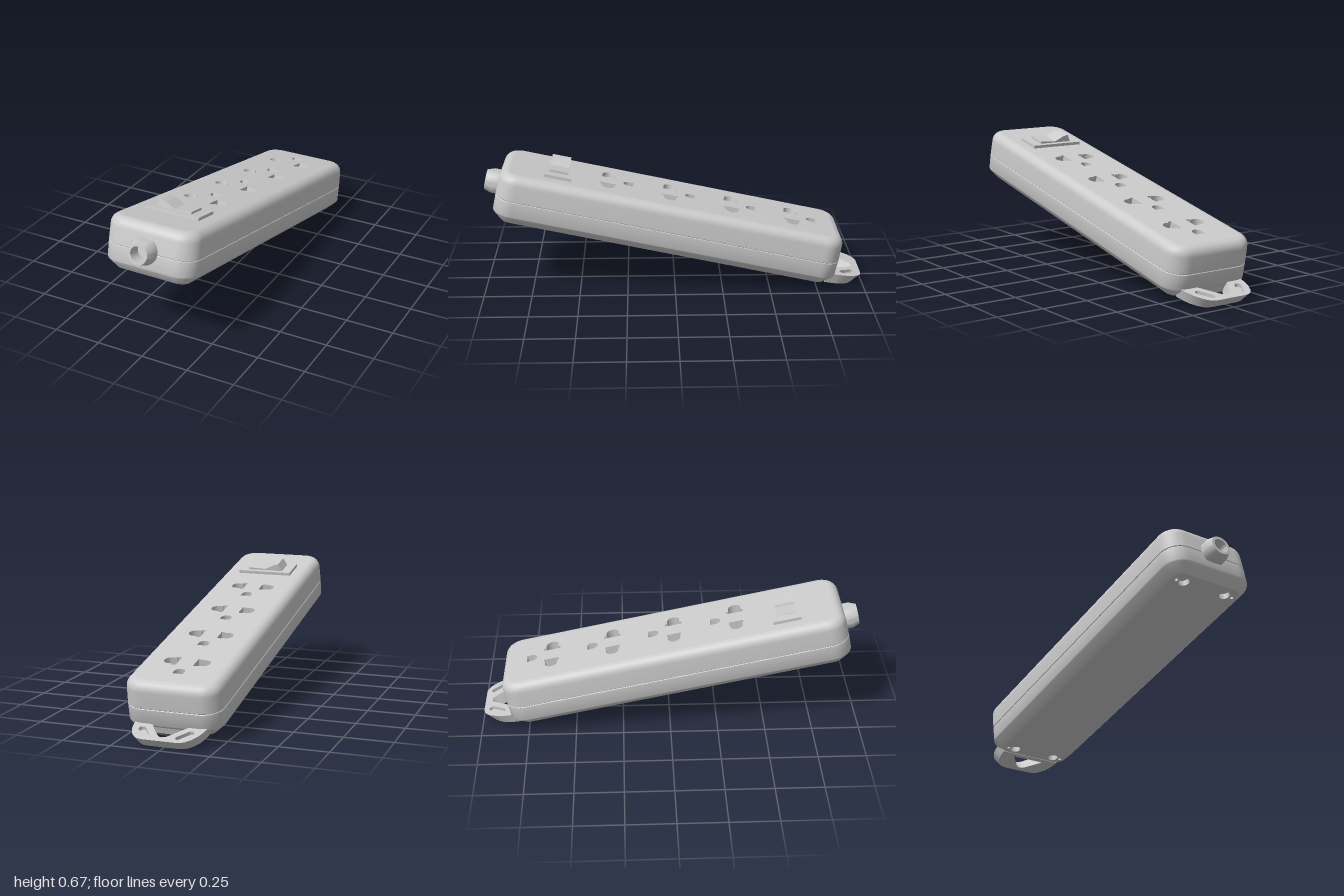
import * as THREE from 'three';
import { toCreasedNormals } from 'three/addons/utils/BufferGeometryUtils.js';

const material = new THREE.MeshStandardMaterial({ color: 0xcccccc, side: THREE.DoubleSide });
const BOTTOM = 0.203, TOP = 0.469, MID_Z = 0.103;

// Plan outlines are lists of Vector2 holding (x, z).
const P = (x, z) => new THREE.Vector2(x, z);
const place = (pts, x, z, sx = 1, angle = 0) =>
  pts.map(p => P(p.x * sx, p.y).rotateAround(P(0, 0), angle).add(P(x, z)));
const atHeight = (pts, y) => pts.map(p => new THREE.Vector3(p.x, y, p.y));
const arc = (cx, cz, r, a0, a1, n) =>
  Array.from({ length: n + 1 }, (_, i) => {
    const a = a0 + (a1 - a0) * i / n;
    return P(cx + r * Math.cos(a), cz + r * Math.sin(a));
  });
const circle = (x, z, r) => arc(x, z, r, 0, Math.PI * 2, 24).slice(0, -1);
const capsule = (half, r) => [
  ...arc(half, 0, r, -Math.PI / 2, Math.PI / 2, 8),
  ...arc(-half, 0, r, Math.PI / 2, Math.PI * 1.5, 8)];

function roundedRect(hw, hl, r, cz) {
  const pts = [];
  [[1, 1], [-1, 1], [-1, -1], [1, -1]].forEach(([sx, sz], i) =>
    pts.push(...arc(sx * (hw - r), cz + sz * (hl - r), r, i * Math.PI / 2, (i + 1) * Math.PI / 2, 10)));
  return pts;
}

function add(parent, name, geometry) {
  const mesh = new THREE.Mesh(geometry, material);
  mesh.name = name;
  parent.add(mesh);
  return mesh;
}

// Skin joining closed rings of equal point count, from bottom to top
function loft(rings) {
  const n = rings[0].length, pos = [], index = [];
  rings.forEach(r => r.forEach(p => pos.push(p.x, p.y, p.z)));
  for (let i = 0; i < rings.length - 1; i++) {
    for (let j = 0; j < n; j++) {
      const a = i * n + j, b = i * n + (j + 1) % n;
      index.push(a, a + n, b, b, a + n, b + n);
    }
  }
  const g = new THREE.BufferGeometry();
  g.setAttribute('position', new THREE.Float32BufferAttribute(pos, 3));
  g.setIndex(index);
  return toCreasedNormals(g, 0.5);
}

// Flat panel with holes at height y
function panel(outline, holes, y) {
  const flip = pts => pts.map(p => P(p.x, -p.y));
  const shape = new THREE.Shape(flip(outline));
  shape.holes = holes.map(h => new THREE.Path(flip(h)));
  return new THREE.ShapeGeometry(shape).rotateX(-Math.PI / 2).translate(0, y, 0);
}

// Recess walls and floor
function well(parent, name, pts, y, floorY) {
  add(parent, name + 'Wall', loft([atHeight(pts, y), atHeight(pts, floorY)]));
  add(parent, name + 'Floor', panel(pts, [], floorY));
}

function addHousing(g) {
  const ring = inset => roundedRect(0.247 - inset, 0.914 - inset, 0.1 - inset, MID_Z);
  // Inset and height: bottom chamfer, seam groove, rounded top edge
  const profile = [[0.05, BOTTOM], [0.004, 0.246], [0, 0.254], [0, 0.331], [0.003, 0.334], [0, 0.337]];
  for (let i = 0; i <= 8; i++) {
    const a = i / 8 * Math.PI / 2;
    profile.push([0.003 + 0.047 * (1 - Math.cos(a)), TOP - 0.05 + 0.05 * Math.sin(a)]);
  }
  add(g, 'housingShell', loft(profile.map(([d, y]) => atHeight(ring(d), y))));

  // Outlet openings
  const blade = (half) => [P(-0.038, -half), P(-0.016, -half), P(-0.016, -0.033),
    ...arc(0.005, 0, 0.033, -Math.PI / 2, Math.PI / 2, 12), P(-0.016, 0.033), P(-0.016, half), P(-0.038, half)];
  const ground = [P(-0.028, -0.025), P(0.028, -0.025), ...arc(0, 0, 0.028, 0, Math.PI, 12)];
  const openings = [];
  for (let i = 0; i < 4; i++) {
    const z = -0.646 + i * 0.331;
    openings.push(place(ground, 0, z), place(blade(0.044), 0.085, z + 0.11), place(blade(0.038), -0.08, z + 0.11, -1));
  }
  add(g, 'topPanel', panel(ring(0.05), openings, TOP));
  openings.forEach(o => well(g, 'outletSlot', o, TOP, TOP - 0.05));

  // Screw holes and small vents underneath
  const screwHoles = [];
  for (const s of [-1, 1]) for (const z of [0.912, -0.722]) {
    screwHoles.push(circle(s * 0.123, z, 0.027), circle(s * 0.168, z, 0.009));
  }
  add(g, 'bottomPanel', panel(ring(0.05), screwHoles, BOTTOM));
  screwHoles.forEach(h => well(g, 'screwHole', h, BOTTOM, BOTTOM + 0.03));
}

function addHangingTab(g) {
  const mirror = half => [...half, ...half.slice().reverse().filter(p => p.x > 0).map(p => P(-p.x, p.y))];
  const outline = mirror([P(0.19, -0.765), P(0.182, -0.83), P(0.172, -0.875), P(0.15, -0.92),
    P(0.13, -0.945), P(0.11, -0.957), P(0.085, -0.962)]);
  const opening = mirror([P(0.1, -0.8), P(0.03, -0.905), P(0.016, -0.92), P(0, -0.925)]);
  const grips = [-1, 1].map(s => place(capsule(0.034, 0.018), s * 0.105, -0.888, 1, s * 0.98));
  const top = 0.26;
  // The underside is drawn in so the rim slopes
  const under = pts => pts.map(p => P(p.x * 0.92, -0.765 + (p.y + 0.765) * 0.78));
  add(g, 'tabTop', panel(outline, [opening, ...grips], top));
  add(g, 'tabBottom', panel(under(outline), [under(opening)], BOTTOM));
  for (const pts of [outline, opening]) {
    add(g, 'tabRim', loft([atHeight(under(pts), BOTTOM), atHeight(pts, top)]));
  }
  grips.forEach(p => well(g, 'tabRecess', p, top, top - 0.018));
}

function addCableInlet(g) {
  // Tapered collar with a bore, flattened above and below
  const profile = [[0, 1.02], [0.038, 1.02], [0.038, 1.087], [0.053, 1.087], [0.068, 1.05], [0.068, 1.0]];
  const geo = new THREE.LatheGeometry(profile.map(p => P(...p)), 48).rotateX(Math.PI / 2);
  const pos = geo.attributes.position;
  for (let i = 0; i < pos.count; i++) pos.setY(i, THREE.MathUtils.clamp(pos.getY(i), -0.057, 0.057));
  add(g, 'cableInlet', toCreasedNormals(geo, 0.5)).position.y = 0.343;
}

function addSwitch(g) {
  const bezel = add(g, 'switchBezel', new THREE.BoxGeometry(0.3, 0.018, 0.146));
  bezel.position.set(-0.002, TOP + 0.007, 0.719);
  // Rocker with one end pressed down
  const side = new THREE.Shape([P(-0.1, 0.47), P(0.095, 0.47), P(0.095, 0.497), P(0.0, 0.492),
    P(-0.05, 0.516), P(-0.08, 0.525), P(-0.1, 0.486)]);
  const rocker = new THREE.ExtrudeGeometry(side, { depth: 0.1, bevelEnabled: false });
  add(g, 'switchRocker', rocker).position.z = 0.669;
}

export function createModel() {
  const strip = new THREE.Group();
  strip.name = 'powerStrip';
  addHousing(strip);
  addHangingTab(strip);
  addCableInlet(strip);
  addSwitch(strip);
  // The strip rests on its tab, tilted up towards the cable end
  strip.rotation.set(-0.213, -0.007, 0);
  const model = new THREE.Group();
  model.add(strip);
  return model;
}
